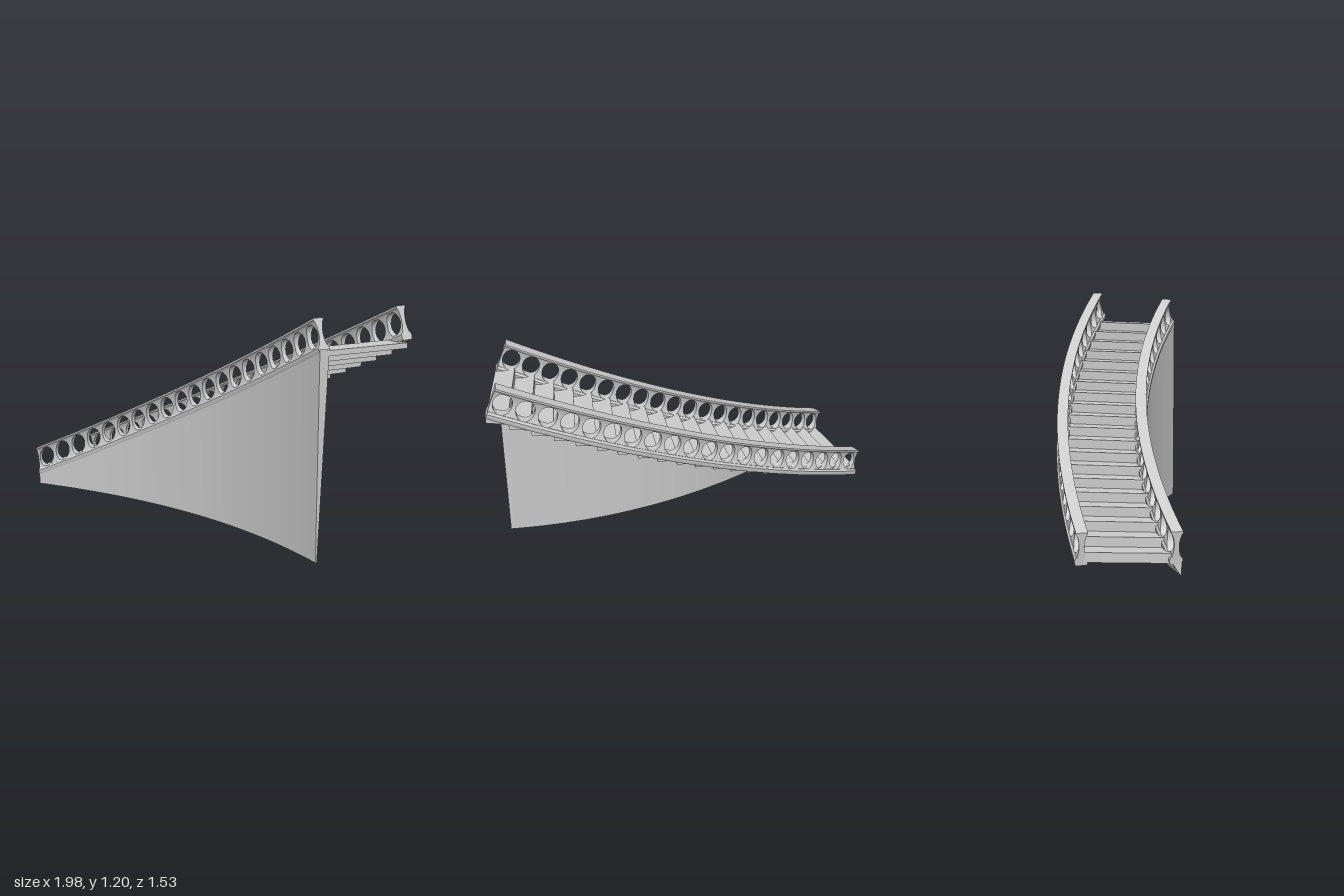
import * as THREE from 'three';
import { toCreasedNormals } from 'three/addons/utils/BufferGeometryUtils.js';

const COUNT = 20; // steps, and openings per balustrade
const SEGS = 40;
const lerp = THREE.MathUtils.lerp;
const material = new THREE.MeshStandardMaterial({ color: 0xcccccc });

const vec = (p) => new THREE.Vector3(...p);
const makePath = (a, b, c) => new THREE.QuadraticBezierCurve3(vec(a), vec(b), vec(c));

// Base lines of the two balustrades; height rises evenly along each
const innerPath = makePath([-0.965, 0.08, -0.4], [0.04, 0.55, -0.06], [0.56, 1.02, 0.745]);
const outerPath = makePath([-0.7, 0.07, -0.74], [0.35, 0.56, -0.32], [0.965, 1.045, 0.53]);

// Point beside (a) and above (b) a path; heights lean back, more so toward the top
function place(path, t, a, b) {
  const p = path.getPoint(t);
  const d = path.getTangent(t).setY(0).normalize();
  const lean = b > 0 ? b * lerp(0.12, 0.38, t) : 0;
  return new THREE.Vector3(p.x - d.z * a - d.x * lean, p.y + b, p.z + d.x * a - d.z * lean);
}

// Closed solid through rings that run counter-clockwise about the travel direction
function loft(rings, name, crease = 0.5) {
  const pos = [];
  const tri = (...pts) => pts.forEach((p) => pos.push(p.x, p.y, p.z));
  const n = rings[0].length;
  for (let r = 0; r < rings.length - 1; r++) {
    for (let i = 0; i < n; i++) {
      const j = (i + 1) % n;
      tri(rings[r][i], rings[r][j], rings[r + 1][j]);
      tri(rings[r][i], rings[r + 1][j], rings[r + 1][i]);
    }
  }
  const first = rings[0], last = rings[rings.length - 1];
  for (let i = 1; i < n - 1; i++) {
    tri(first[0], first[i + 1], first[i]);
    tri(last[0], last[i], last[i + 1]);
  }
  const geo = new THREE.BufferGeometry();
  geo.setAttribute('position', new THREE.Float32BufferAttribute(pos, 3));
  const mesh = new THREE.Mesh(toCreasedNormals(geo, crease), material);
  mesh.name = name;
  return mesh;
}

// Sweep a cross-section of [side, up] points along a path
function sweep(path, section, name) {
  const rings = [];
  for (let i = 0; i <= SEGS; i++) {
    rings.push(section.map(([a, b]) => place(path, i / SEGS, a, b)));
  }
  return loft(rings, name);
}

// Waisted baluster whose flared ends meet its neighbours in arches
function baluster(path, index) {
  const rings = [];
  for (let r = 0; r <= 10; r++) {
    const u = -Math.cos((r / 10) * Math.PI);
    const b = 0.034 + 0.107 * (u + 1) / 2;
    const half = (0.5 - 0.41 * Math.sqrt(Math.max(0, 1 - u * u))) / COUNT;
    const across = 0.012 + 0.01 * u * u;
    const t0 = Math.max(0, index / COUNT - half);
    const t1 = Math.min(1, index / COUNT + half);
    rings.push([[-across, t0], [across, t0], [across, t1], [-across, t1]]
      .map(([a, t]) => place(path, t, a, b)));
  }
  return loft(rings, 'baluster', 0.6);
}

function balustrade(path, name) {
  const group = new THREE.Group();
  group.name = name;
  group.add(sweep(path, [
    [-0.026, 0], [-0.032, 0.012], [-0.032, 0.026], [-0.024, 0.036],
    [0.024, 0.036], [0.032, 0.026], [0.032, 0.012], [0.026, 0],
  ], 'baseRail'));
  group.add(sweep(path, [
    [-0.02, 0.138], [-0.028, 0.148], [-0.028, 0.157],
    [0.028, 0.157], [0.028, 0.148], [0.02, 0.138],
  ], 'handRail'));
  for (let i = 0; i <= COUNT; i++) group.add(baluster(path, i));
  return group;
}

// Step with a level tread, a riser and an underside that rises to the rear
function step(k) {
  const rise = 0.0473;
  const y = 0.085 + rise * k;
  const profile = [[k, y], [k, y + rise], [k + 1, y + rise], [k + 1, y + 0.02]];
  const ring = (path) => profile.map(([i, h]) => place(path, i / COUNT, 0, 0).setY(h));
  return loft([ring(innerPath), ring(outerPath)], 'step', 0.1);
}

// Tall supporting wall under the inner balustrade, thinning toward the ground
function supportWall() {
  const rings = [];
  for (let i = 0; i <= SEGS; i++) {
    const t = i / SEGS;
    const ground = lerp(0.03, 0, t);
    const at = (a, y) => place(innerPath, t, a, 0).setY(y);
    const top = innerPath.getPoint(t).y + 0.02;
    rings.push([at(0.02, ground), at(-0.026, top), at(0.028, top), at(0.028, ground)]);
  }
  return loft(rings, 'supportWall');
}

export function createModel() {
  const model = new THREE.Group();
  model.name = 'curvedStaircase';
  model.add(balustrade(innerPath, 'innerBalustrade'));
  model.add(balustrade(outerPath, 'outerBalustrade'));
  model.add(supportWall());
  const steps = new THREE.Group();
  steps.name = 'steps';
  for (let k = 0; k < COUNT; k++) steps.add(step(k));
  model.add(steps);
  return model;
}
